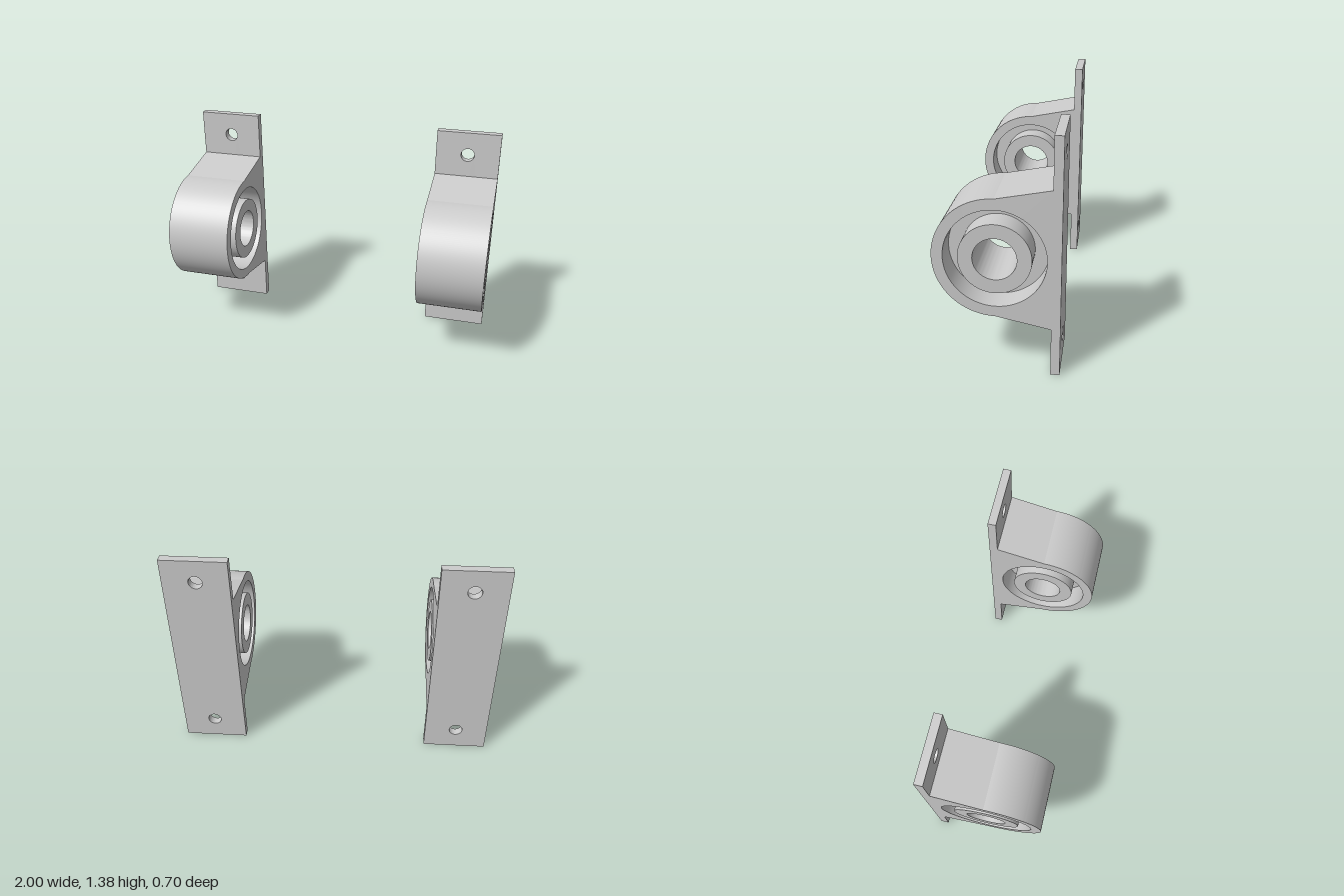
import * as THREE from 'three';
import { toCreasedNormals } from 'three/addons/utils/BufferGeometryUtils.js';

const WIDTH = 0.4, AXIS_Y = 0.69, AXIS_Z = 0.008;
const PLATE_FRONT = -0.297, PLATE_BACK = -0.348, HEIGHT = 1.38;
const OUTER_R = 0.342, POCKET_R = 0.28, HUB_R = 0.2, BORE_R = 0.12;
const material = new THREE.MeshStandardMaterial({ color: 0xcccccc });

function addHole(shape, x, y, r) {
  const hole = new THREE.Path();
  hole.absarc(x, y, r, 0, Math.PI * 2, true);
  shape.holes.push(hole);
}

// Extrusion centred on its depth, smooth around curves and sharp at edges
function extrude(shape, depth) {
  const geometry = new THREE.ExtrudeGeometry(shape, { depth, bevelEnabled: false, curveSegments: 48 });
  geometry.translate(0, 0, -depth / 2);
  return toCreasedNormals(geometry, 0.16);
}

function mesh(name, geometry) {
  const m = new THREE.Mesh(geometry, material);
  m.name = name;
  return m;
}

// Ring around the bearing axis, which runs along x
function ring(name, outer, inner, width) {
  const shape = new THREE.Shape();
  shape.absarc(0, 0, outer, 0, Math.PI * 2, false);
  addHole(shape, 0, 0, inner);
  const m = mesh(name, extrude(shape, width).rotateY(Math.PI / 2));
  m.position.set(0, AXIS_Y, AXIS_Z);
  return m;
}

// Rounded housing flaring out towards the plate; shape x becomes -z
function housing() {
  const shape = new THREE.Shape();
  shape.moveTo(-PLATE_FRONT, AXIS_Y - 0.403);
  shape.lineTo(-PLATE_FRONT, AXIS_Y + 0.403);
  shape.lineTo(-AXIS_Z, AXIS_Y + OUTER_R);
  shape.absarc(-AXIS_Z, AXIS_Y, OUTER_R, Math.PI / 2, Math.PI * 1.5, false);
  shape.closePath();
  addHole(shape, -AXIS_Z, AXIS_Y, POCKET_R);
  return mesh('housing', extrude(shape, WIDTH).rotateY(Math.PI / 2));
}

// Upright mounting plate with two screw holes
function mountingPlate() {
  const w = WIDTH / 2;
  const shape = new THREE.Shape([
    new THREE.Vector2(-w, 0), new THREE.Vector2(w, 0),
    new THREE.Vector2(w, HEIGHT), new THREE.Vector2(-w, HEIGHT),
  ]);
  for (const y of [0.145, HEIGHT - 0.145]) addHole(shape, 0, y, 0.042);
  const m = mesh('mountingPlate', extrude(shape, PLATE_FRONT - PLATE_BACK));
  m.position.z = (PLATE_FRONT + PLATE_BACK) / 2;
  return m;
}

export function createModel() {
  const model = new THREE.Group();
  model.name = 'bearingBrackets';
  for (const side of [-1, 1]) {
    const bracket = new THREE.Group();
    bracket.name = side > 0 ? 'leftBracket' : 'rightBracket';
    bracket.add(
      mountingPlate(),
      housing(),
      ring('hub', HUB_R, BORE_R, WIDTH),
      ring('web', POCKET_R, HUB_R, 0.1), // recessed disc joining hub and housing
    );
    bracket.position.x = side * 0.8;
    model.add(bracket);
  }
  return model;
}
